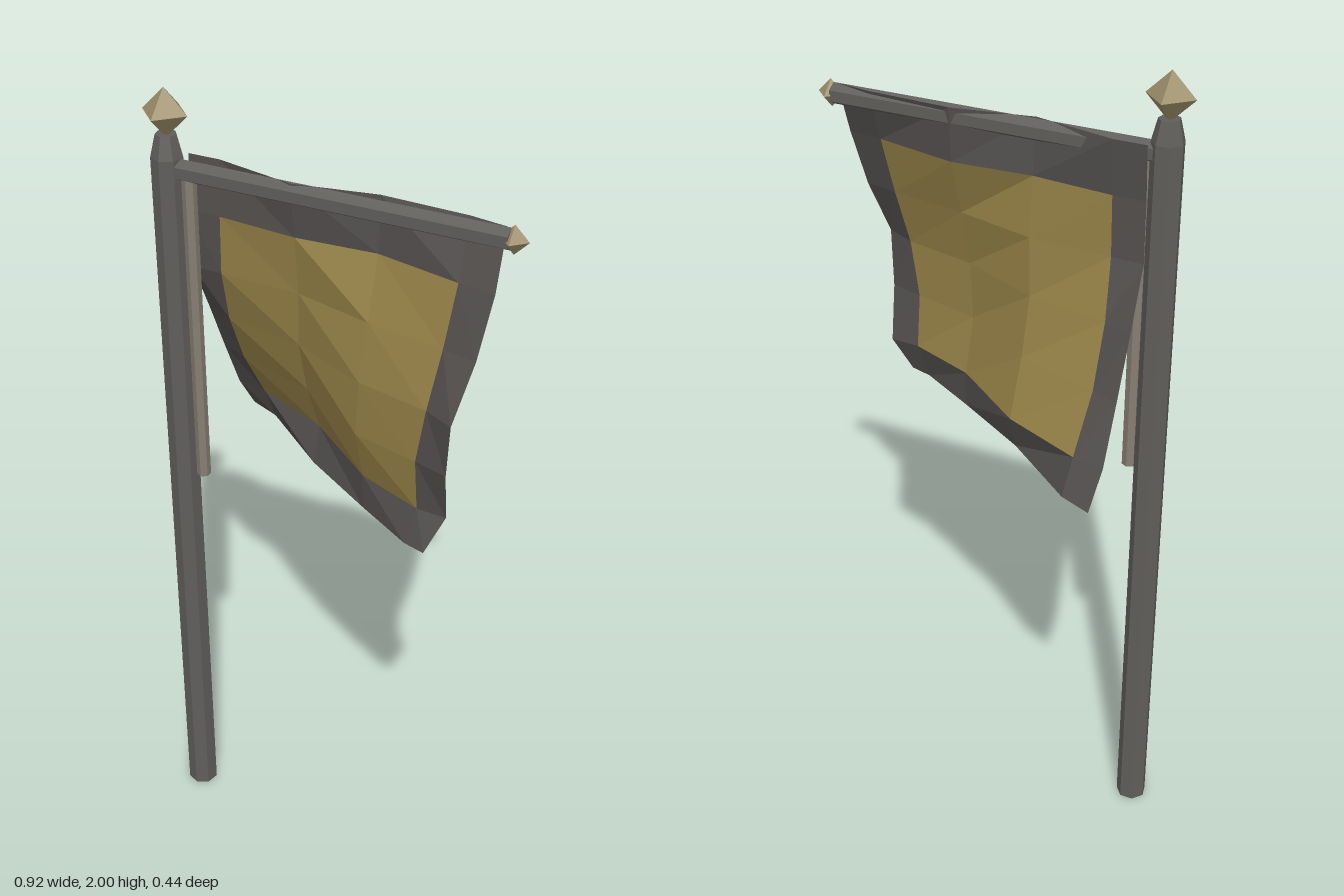
import * as THREE from 'three';

const paint = (color, side = THREE.FrontSide) =>
  new THREE.MeshStandardMaterial({ color, side, flatShading: true });

export function createModel() {
  const model = new THREE.Group();
  model.name = 'bannerPole';
  const iron = paint(0x605e5b), brass = paint(0x9c8d68), wood = paint(0x857d72);
  const Z = 0.076;

  const add = (name, geometry, material, x, y) => {
    const mesh = new THREE.Mesh(geometry, material);
    mesh.name = name;
    mesh.position.set(x, y, Z);
    model.add(mesh);
  };
  const rod = (top, bottom, length, sides) => new THREE.CylinderGeometry(top, bottom, length, sides);

  // upright pole with its tapered cap and finial
  add('pole', rod(0.038, 0.038, 1.84, 7), iron, -0.403, 0.92);
  add('poleCap', rod(0.025, 0.038, 0.053, 7), iron, -0.403, 1.8665);
  add('poleFinial', new THREE.OctahedronGeometry(0.058), brass, -0.403, 1.942);

  // crossbar with a small end finial
  add('crossbar', rod(0.026, 0.026, 0.81, 6).rotateY(Math.PI / 2).rotateZ(Math.PI / 2), iron, 0.015, 1.813);
  add('crossbarFinial', new THREE.OctahedronGeometry(0.034), brass, 0.427, 1.813);

  // slim rod holding the inner edge of the cloth
  add('sideRod', rod(0.017, 0.017, 0.78, 6), wood, -0.35, 1.405);

  // cloth rows: height, x of each column, z of each column
  const rows = [
    [1.839, [-0.37, -0.29, -0.09, 0.11, 0.32, 0.41], [0.04, 0.04, 0.085, 0.05, 0.06, 0.075]],
    [1.705, [-0.37, -0.29, -0.09, 0.11, 0.32, 0.41], [0.05, 0.05, 0.07, 0.06, 0.11, 0.125]],
    [1.56, [-0.375, -0.295, -0.09, 0.11, 0.305, 0.39], [0.04, 0.045, 0.055, 0.11, 0.145, 0.165]],
    [1.42, [-0.38, -0.305, -0.10, 0.10, 0.285, 0.36], [-0.035, 0, 0.04, 0.135, 0.18, 0.218]],
    [1.28, [-0.38, -0.31, -0.10, 0.09, 0.26, 0.345], [-0.10, -0.07, 0, 0.13, 0.175, 0.20]],
    [1.145, [-0.38, -0.30, -0.10, 0.09, 0.26, 0.335], [-0.165, -0.15, -0.06, 0.09, 0.16, 0.165]],
    [1.056, [-0.37, -0.29, -0.10, 0.09, 0.24, 0.295], [-0.22, -0.185, -0.03, 0.09, 0.18, 0.197]],
  ];
  const corner = (r, c) => [rows[r][1][c], rows[r][0], rows[r][2][c]];
  const border = [], panel = [];
  for (let r = 0; r < 6; r++) {
    for (let c = 0; c < 5; c++) {
      const inside = r > 0 && r < 5 && c > 0 && c < 4;
      const tl = corner(r, c), tr = corner(r, c + 1);
      const bl = corner(r + 1, c), br = corner(r + 1, c + 1);
      (inside ? panel : border).push(...tl, ...bl, ...br, ...tl, ...br, ...tr);
    }
  }
  const cloth = (name, points, color) => {
    const geometry = new THREE.BufferGeometry();
    geometry.setAttribute('position', new THREE.Float32BufferAttribute(points, 3));
    geometry.computeVertexNormals();
    const mesh = new THREE.Mesh(geometry, paint(color, THREE.DoubleSide));
    mesh.name = name;
    model.add(mesh);
  };
  cloth('flagBorder', border, 0x524f4d);
  cloth('flagPanel', panel, 0x948046);

  return model;
}
